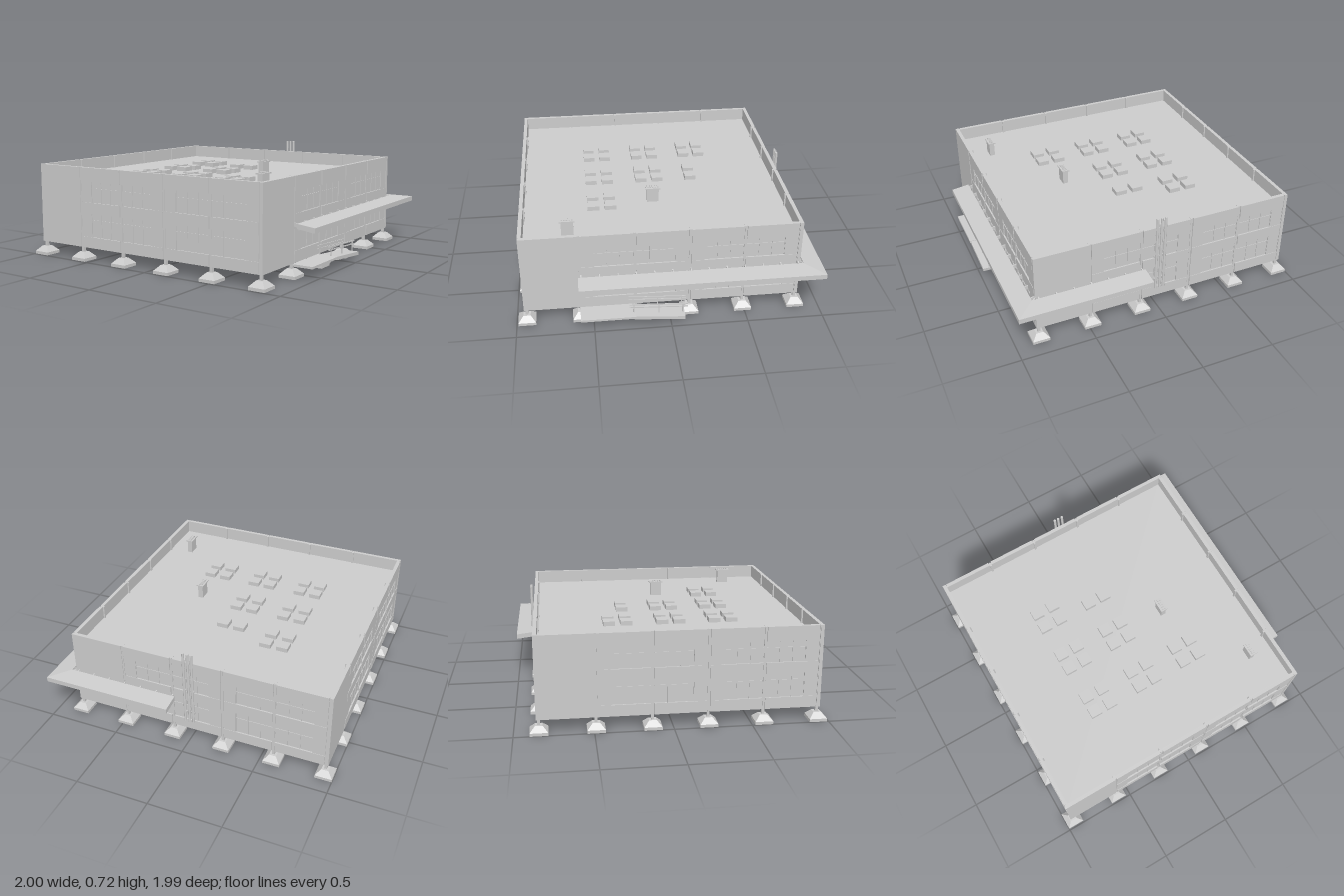
import * as THREE from 'three';

const mat = new THREE.MeshStandardMaterial({ color: 0xcccccc, flatShading: true });

function add(parent, name, geo, x = 0, y = 0, z = 0) {
  const m = new THREE.Mesh(geo, mat);
  m.name = name;
  m.position.set(x, y, z);
  parent.add(m);
  return m;
}

// box given by its two opposite corners
function box(parent, name, x0, x1, y0, y1, z0, z1) {
  return add(parent, name, new THREE.BoxGeometry(x1 - x0, y1 - y0, z1 - z0),
    (x0 + x1) / 2, (y0 + y1) / 2, (z0 + z1) / 2);
}

// thin beam from a to b
function beam(parent, name, a, b, w, h) {
  const p = new THREE.Vector3(...a), q = new THREE.Vector3(...b);
  const m = add(parent, name, new THREE.BoxGeometry(w, h, p.distanceTo(q)));
  m.position.copy(p).add(q).multiplyScalar(0.5);
  m.lookAt(q);
  return m;
}

const H = 0.905;                 // half width of the building
const BASE = 0.09, TOP = 0.635, ROOF = 0.545;
const grid = Array.from({ length: 6 }, (_, i) => -0.8875 + 0.355 * i);

// one facade facing +z: a plain bay at its left end, then five-bay grid of bands and windows
function facade() {
  const g = new THREE.Group();
  g.name = 'facade';
  box(g, 'wallCore', -H + 0.01, H - 0.01, BASE, TOP, H - 0.025, H - 0.01);
  box(g, 'plainBay', -H, grid[1] - 0.004, BASE, TOP, H - 0.022, H);
  box(g, 'cornerPost', H - 0.018, H, BASE, TOP, H - 0.018, H);
  for (let i = 0; i < 6; i++) {
    box(g, 'pilaster', grid[i] - 0.007, grid[i] + 0.007, BASE, TOP, H - 0.035, H - 0.004);
  }
  for (let i = 1; i < 5; i++) {
    const a = grid[i] + 0.01, b = grid[i + 1] - 0.01, w = b - a;
    for (const [y0, y1] of [[BASE, 0.165], [0.325, 0.4], [0.54, TOP]]) {
      box(g, 'wallBand', a, b, y0, y1, H - 0.02, H);
    }
    for (const [y0, y1] of [[0.165, 0.325], [0.4, 0.54]]) {
      for (const t of [0.25, 0.5, 0.75]) {
        box(g, 'mullion', a + w * t - 0.002, a + w * t + 0.002, y0, y1, H - 0.012, H - 0.006);
      }
      box(g, 'transom', a, b, y1 - 0.045, y1 - 0.042, H - 0.012, H - 0.006);
      const s = i % 2 ? a : b - w * 0.25;
      box(g, 'windowPier', s, s + w * 0.25, y0, y1, H - 0.012, H - 0.003);
    }
  }
  return g;
}

// sloping canopy swept around the corner with a mitre
function canopyGeometry() {
  const section = [[0.875, 0.31], [1, 0.295], [1, 0.328], [0.875, 0.343]];
  const rows = [d => [d, 0.59], d => [d, -d], () => null].map((f, r) =>
    section.map(([d, y]) => {
      const [x, z] = r === 2 ? [0.1, -d] : f(d);
      return [x, y, z];
    }));
  const pos = rows.flat(2), idx = [0, 1, 2, 0, 2, 3, 8, 10, 9, 8, 11, 10];
  for (let r = 0; r < 2; r++) {
    for (let j = 0; j < 4; j++) {
      const s = r * 4 + j, k = r * 4 + (j + 1) % 4;
      idx.push(s, s + 4, k + 4, s, k + 4, k);
    }
  }
  const g = new THREE.BufferGeometry();
  g.setAttribute('position', new THREE.Float32BufferAttribute(pos, 3));
  g.setIndex(idx);
  const flat = g.toNonIndexed();
  flat.computeVertexNormals();
  return flat;
}

export function createModel() {
  const model = new THREE.Group();
  model.name = 'building';

  const house = new THREE.Group();
  house.name = 'mainBlock';
  house.position.set(-0.055, 0, 0.045);
  model.add(house);

  // four facades in a pinwheel
  for (let k = 0; k < 4; k++) {
    const f = facade();
    f.rotation.y = k * Math.PI / 2;
    house.add(f);
  }
  const e = H - 0.02;
  box(house, 'roofSlab', -e, e, ROOF - 0.02, ROOF, -e, e);
  box(house, 'upperFloor', -e, e, 0.335, 0.35, -e, e);

  // footings and columns
  const r2 = Math.SQRT2;
  const footing = new THREE.LatheGeometry(
    [[0, 0], [0.0575 * r2, 0], [0.0575 * r2, 0.02], [0.024 * r2, 0.055], [0, 0.055]]
      .map(p => new THREE.Vector2(...p)), 4, Math.PI / 4);
  for (const x of grid) {
    for (const z of grid) {
      add(house, 'footing', footing, x, 0, z);
      box(house, 'column', x - 0.009, x + 0.009, 0.05, ROOF - 0.01, z - 0.009, z + 0.009);
    }
  }

  // ground floor partitions, with some openings
  for (let i = 1; i < 5; i++) {
    for (let j = 0; j < 5; j++) {
      const a = grid[j], b = grid[j + 1], c = grid[i];
      if ((i + j) % 3) box(house, 'partition', a, b, BASE, 0.335, c - 0.005, c + 0.005);
      if ((i * 2 + j) % 4) box(house, 'partition', c - 0.005, c + 0.005, BASE, 0.335, a, b);
    }
  }

  // skylights
  const rows = [-0.365, -0.25, -0.01, 0.105, 0.345, 0.46];
  for (const [xs, first] of [[[-0.47, -0.35], 0], [[-0.115, 0.005], 1], [[0.24, 0.36], 4]]) {
    for (const x of xs) {
      for (const z of rows.slice(first)) {
        box(model, 'skylight', x - 0.039, x + 0.039, ROOF, ROOF + 0.03, z - 0.039, z + 0.039);
      }
    }
  }

  // roof vents
  for (const [x, z] of [[0.305, 0.05], [0.665, 0.64]]) {
    box(model, 'ventShaft', x - 0.018, x + 0.018, ROOF, 0.642, z - 0.04, z + 0.04);
    box(model, 'ventCap', x - 0.026, x + 0.026, 0.642, 0.65, z - 0.05, z + 0.05);
    for (let i = -2; i <= 2; i++) {
      box(model, 'ventOutlet', x - 0.012, x + 0.012, 0.65, 0.656, z + i * 0.017 - 0.005, z + i * 0.017 + 0.005);
    }
  }

  // flues on the back wall
  for (const x of [-0.033, -0.006, 0.024]) {
    add(model, 'flue', new THREE.CylinderGeometry(0.009, 0.009, 0.55, 10), x, 0.44, -0.876);
    for (const y of [0.22, 0.4, 0.58]) box(model, 'flueClip', x - 0.004, x + 0.004, y, y + 0.012, -0.872, -0.85);
  }

  // canopy, its brackets and bearer beams
  add(model, 'canopy', canopyGeometry());
  for (let i = 0; i < 13; i++) {
    const z = 0.57 - i * 0.118;
    beam(model, 'canopyBracket', [0.845, 0.333, z], [0.98, 0.302, z], 0.008, 0.024);
  }
  for (let i = 0; i < 7; i++) {
    const x = 0.12 + i * 0.118;
    beam(model, 'canopyBracket', [x, 0.333, -0.855], [x, 0.302, -0.98], 0.008, 0.024);
  }
  beam(model, 'cornerBracket', [0.845, 0.333, -0.855], [0.98, 0.302, -0.98], 0.008, 0.024);
  box(model, 'sideBearer', 0.88, 0.888, 0.3, 0.32, -0.88, 0.58);
  box(model, 'backBearer', 0.11, 0.888, 0.3, 0.32, -0.888, -0.88);

  // entrance landing, steps and ramp
  box(model, 'landing', 0.84, 0.985, 0.07, 0.085, 0.23, 0.585);
  for (let i = 0; i < 3; i++) {
    box(model, 'step', 0.86, 0.94, 0.04 + i * 0.01, 0.05 + i * 0.01, 0.25 + i * 0.02, 0.37);
  }
  beam(model, 'ramp', [0.915, 0.072, 0.24], [0.915, 0.047, -0.09], 0.13, 0.022);
  for (const x of [0.855, 0.935]) {
    for (const dy of [0, -0.02]) {
      beam(model, 'handrail', [x, 0.146 + dy, 0.27], [x, 0.126 + dy, -0.11], 0.006, 0.007);
    }
    for (const [z, y] of [[0.24, 0.145], [0.08, 0.136], [-0.08, 0.127]]) {
      box(model, 'railPost', x - 0.003, x + 0.003, 0.05, y, z - 0.003, z + 0.003);
    }
  }
  return model;
}
